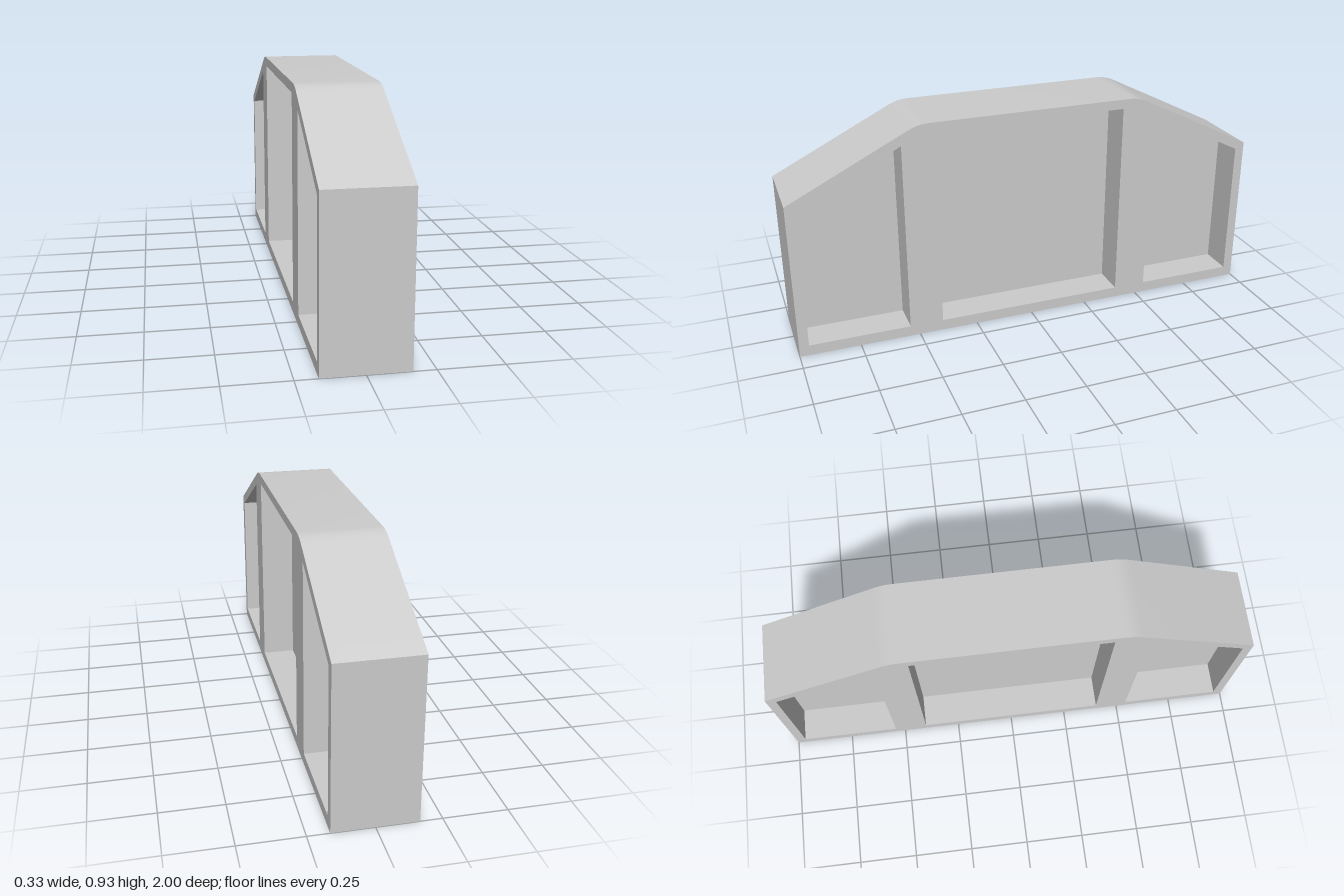
import * as THREE from 'three';
import { toCreasedNormals } from 'three/addons/utils/BufferGeometryUtils.js';

const WIDTH = 0.33;   // overall thickness along x
const WEB = 0.052;    // thickness of the wall left between opposite recesses

const outline = (points) => points.map(([u, v]) => new THREE.Vector2(u, v));

export function createModel() {
  const group = new THREE.Group();
  const material = new THREE.MeshStandardMaterial({ color: 0xcccccc });

  // Recess outlines, shared by the frame openings and the recessed panels
  const sideRecess = (s) => outline([
    [s * 0.54, 0.045], [s * 0.96, 0.045], [s * 0.96, 0.635], [s * 0.54, 0.845],
  ]);
  const recesses = {
    centrePanel: outline([[-0.4, 0.045], [0.4, 0.045], [0.4, 0.885], [-0.4, 0.885]]),
    frontPanel: sideRecess(-1),
    backPanel: sideRecess(1),
  };

  // Outer frame: sloped shoulders blended softly into the flat top
  const profile = new THREE.Shape();
  profile.moveTo(-1, 0);
  profile.lineTo(1, 0);
  profile.lineTo(1, 0.66);
  profile.lineTo(0.51, 0.905);
  profile.quadraticCurveTo(0.47, 0.925, 0.43, 0.925);
  profile.lineTo(-0.43, 0.925);
  profile.quadraticCurveTo(-0.47, 0.925, -0.51, 0.905);
  profile.lineTo(-1, 0.66);
  profile.closePath();
  for (const points of Object.values(recesses)) profile.holes.push(new THREE.Path(points));

  const body = new THREE.ExtrudeGeometry(profile, { depth: WIDTH, bevelEnabled: false, curveSegments: 5 });
  body.translate(0, 0, -WIDTH / 2);
  body.rotateY(Math.PI / 2);
  const frame = new THREE.Mesh(toCreasedNormals(body, 0.4), material);
  frame.name = 'frame';
  group.add(frame);

  // Recessed panels, closing each opening midway and seen from both sides
  for (const [name, points] of Object.entries(recesses)) {
    const geometry = new THREE.ExtrudeGeometry(new THREE.Shape(points), { depth: WEB, bevelEnabled: false });
    geometry.translate(0, 0, -WEB / 2);
    geometry.rotateY(Math.PI / 2);
    const panel = new THREE.Mesh(geometry, material);
    panel.name = name;
    group.add(panel);
  }

  return group;
}
